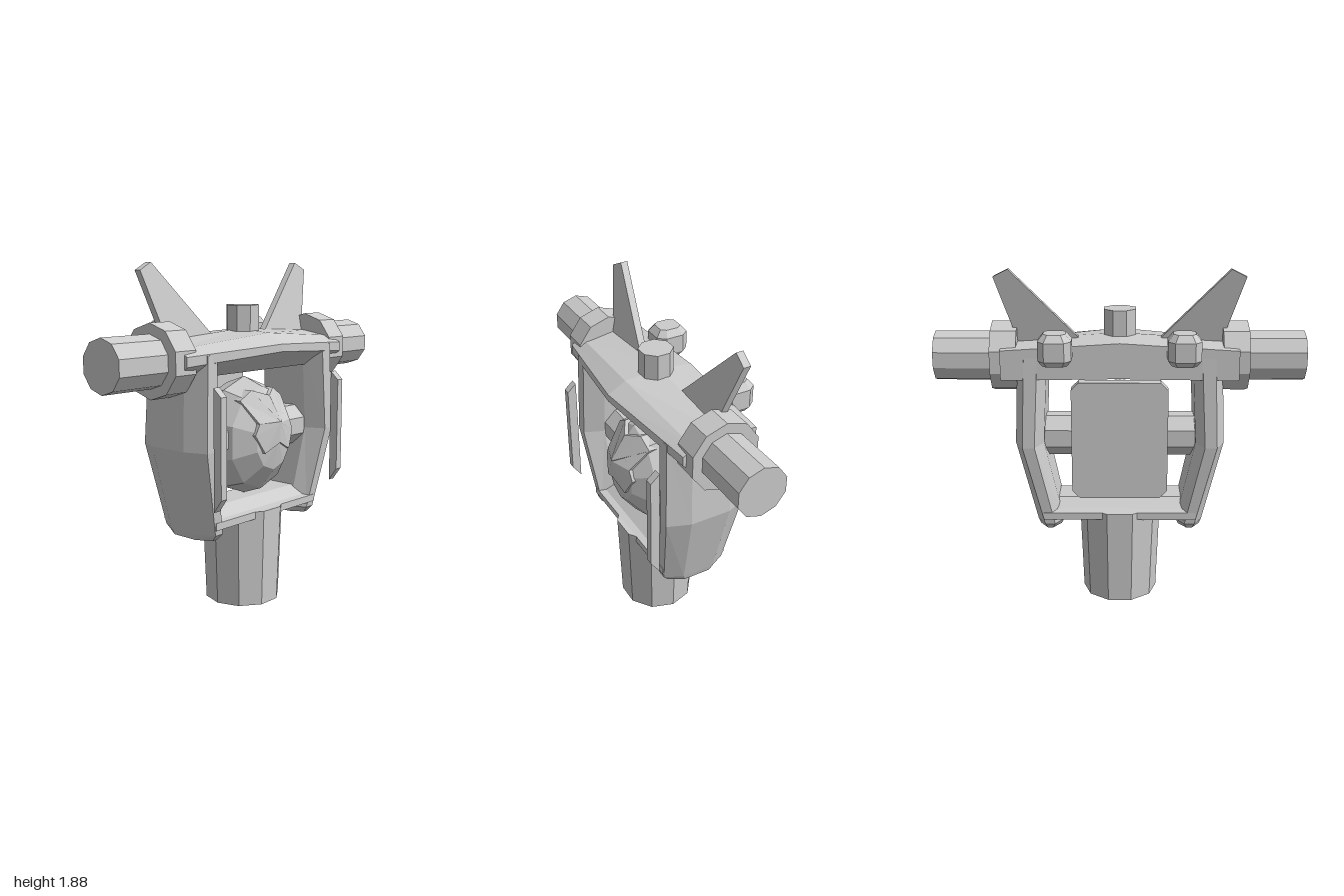
import * as THREE from 'three';

const grey = new THREE.MeshStandardMaterial({ color: 0xcccccc, flatShading: true });

export function createModel() {
  const model = new THREE.Group();

  function add(name, geometry, x = 0, y = 0, z = 0) {
    const mesh = new THREE.Mesh(geometry, grey);
    mesh.name = name;
    mesh.position.set(x, y, z);
    model.add(mesh);
    return mesh;
  }

  // Closed solid through rings of [x, y, z] points, wound outwards whatever the ring order
  function loft(rings) {
    const tris = [];
    const n = rings[0].length;
    for (let i = 0; i + 1 < rings.length; i++) {
      for (let j = 0; j < n; j++) {
        const k = (j + 1) % n, a = rings[i], b = rings[i + 1];
        tris.push([a[j], a[k], b[k]], [a[j], b[k], b[j]]);
      }
    }
    const first = rings[0], last = rings[rings.length - 1];
    const middle = (r) => [0, 1, 2].map((c) => r.reduce((s, p) => s + p[c], 0) / n);
    const m0 = middle(first), m1 = middle(last);
    for (let j = 0; j < n; j++) {
      const k = (j + 1) % n;
      tris.push([m0, first[k], first[j]], [m1, last[j], last[k]]);
    }
    let volume = 0;
    for (const [a, b, c] of tris) {
      const cross = new THREE.Vector3(...b).sub(new THREE.Vector3(...m0))
        .cross(new THREE.Vector3(...c).sub(new THREE.Vector3(...m0)));
      volume += new THREE.Vector3(...a).sub(new THREE.Vector3(...m0)).dot(cross);
    }
    if (volume < 0) tris.forEach((t) => t.reverse());
    const geometry = new THREE.BufferGeometry();
    geometry.setAttribute('position', new THREE.Float32BufferAttribute(tris.flat(2), 3));
    geometry.computeVertexNormals();
    return geometry;
  }

  // Flat plate in the x-y plane, centred on z = 0
  function plate(points, depth) {
    const shape = new THREE.Shape(points.map((p) => new THREE.Vector2(...p)));
    return new THREE.ExtrudeGeometry(shape, { depth, bevelEnabled: false }).translate(0, 0, -depth / 2);
  }

  // Neck post
  const neck = new THREE.CylinderGeometry(0.23, 0.21, 0.54, 10).rotateY(Math.PI / 2);
  add('neckPost', neck, 0, 0.27, 0.02);

  // Lower crossbar: a shelf with thin front and back lips
  const shelf = [[0.21, 0.5], [0.21, 0.54], [0.17, 0.545], [0.1, 0.595], [-0.07, 0.595],
    [-0.13, 0.545], [-0.18, 0.54], [-0.18, 0.5], [-0.1, 0.47], [0.14, 0.47]];
  add('lowerCrossbar', loft([-0.42, 0.42].map((x) => shelf.map(([z, y]) => [x, y, z]))));

  // Upper crossbar: thickest and furthest forward in the middle
  const barEnd = [[0.22, 1.37], [0.22, 1.42], [0.16, 1.455], [0, 1.48], [-0.19, 1.46], [-0.19, 1.3], [0.14, 1.3]];
  const barMiddle = [[0.3, 1.41], [0.3, 1.45], [0.2, 1.505], [0, 1.52], [-0.19, 1.5], [-0.19, 1.31], [0.14, 1.3]];
  const barRing = (x, points) => points.map(([z, y]) => [x, y, z]);
  add('upperCrossbar', loft([barRing(-0.63, barEnd), barRing(0, barMiddle), barRing(0.63, barEnd)]));

  // Cap on the crossbar
  add('topCap', new THREE.CylinderGeometry(0.093, 0.093, 0.17, 8).rotateY(Math.PI / 8), 0, 1.565, 0.02);

  // Head: faceted ball with its pole facing forward
  const headY = 0.93, headZ = 0.03, rx = 0.285, ry = 0.33, rz = 0.25;
  const head = new THREE.SphereGeometry(1, 10, 6).rotateX(Math.PI / 2).rotateZ(Math.PI / 2);
  add('head', head.scale(rx, ry, rz), 0, headY, headZ);

  // Raised face mask with a notched outline
  const half = [[0.09, 1.2], [0.17, 1.15], [0.125, 1.03], [0.155, 0.97], [0.1, 0.87]];
  const outline = [[0, 1.17], ...half, [0, 0.92], ...half.map(([x, y]) => [-x, y]).reverse()];
  const rim = outline.map(([x, y]) => {
    const inside = 1 - (x / rx) ** 2 - ((y - headY) / ry) ** 2;
    return [x, y, headZ + rz * Math.sqrt(Math.max(inside, 0)) + 0.012];
  });
  add('faceMask', loft([
    rim.map(([x, y, z]) => [x, y, z - 0.06]),
    rim,
    rim.map(([x, y]) => [x * 0.04, 1.03 + (y - 1.03) * 0.04, 0.295]),
  ]));

  // Back plate with cut corners
  const c = 0.04, w = 0.255, low = 0.67, high = 1.31;
  add('backPlate', plate([[-w + c, low], [w - c, low], [w, low + c], [w, high - c],
    [w - c, high], [-w + c, high], [-w, high - c], [-w, low + c]], 0.07), 0, 0, -0.24);

  for (const s of [1, -1]) {
    const side = s > 0 ? 'left' : 'right';

    // Side arm: pointed front and back, bulging outwards, narrowing to the foot
    const arm = [[1.42, 0.39, 0.55, 0.24, -0.19], [0.93, 0.415, 0.57, 0.25, -0.21],
      [0.47, 0.315, 0.46, 0.2, -0.17], [0.435, 0.33, 0.45, 0.17, -0.14]];
    add(side + 'Arm', loft(arm.map(([y, inner, outer, front, back]) => {
      const a = inner + 0.045, b = outer - 0.045;
      return [[inner, back * 0.55], [inner, front * 0.55], [a, front], [b, front],
        [outer, front * 0.5], [outer, back * 0.5], [b, back], [a, back]].map(([x, z]) => [s * x, y, z]);
    })));

    // Axle holding the head
    const axle = new THREE.CylinderGeometry(0.122, 0.122, 0.24, 8).rotateY(Math.PI / 8).rotateZ(Math.PI / 2);
    add(side + 'HeadAxle', axle, s * 0.33, 0.945, 0.02);

    // Collar and barrel at the end of the crossbar
    const drum = (r, length) => new THREE.CylinderGeometry(r, r, length, 10)
      .rotateY(Math.PI / 2).rotateZ(Math.PI / 2);
    add(side + 'Collar', drum(0.192, 0.14), s * 0.62, 1.39, 0.02);
    add(side + 'Barrel', drum(0.137, 0.34), s * 0.83, 1.39, 0.02);

    // Fin leaning back
    const fin = [[0.2, 1.48], [0.54, 1.46], [0.66, 1.835], [0.58, 1.875]];
    add(side + 'Fin', loft([-0.02, 0.02].map((t) =>
      fin.map(([x, y]) => [s * x, y, -0.025 - (y - 1.5) * 0.2 + t]))));

    // Upright guard in front of the arm
    const guard = [[0.28, 0.63], [0.33, 0.7], [0.33, 1.22], [0.28, 1.265]];
    add(side + 'FrontGuard', loft([0.467, 0.51].map((x) => guard.map(([z, y]) => [s * x, y, z]))));

    // Pod behind the crossbar, a box with every edge cut
    const pod = [[1.4, 0.065], [1.43, 0.087], [1.53, 0.087], [1.567, 0.058]];
    add(side + 'Pod', loft(pod.map(([y, r]) => {
      const k = r * 0.6, d = r * 1.08;
      return [[k, d], [r, k], [r, -k], [k, -d], [-k, -d], [-r, -k], [-r, k], [-k, d]]
        .map(([x, z]) => [s * 0.335 + x, y, z - 0.237]);
    })));
  }
  return model;
}
